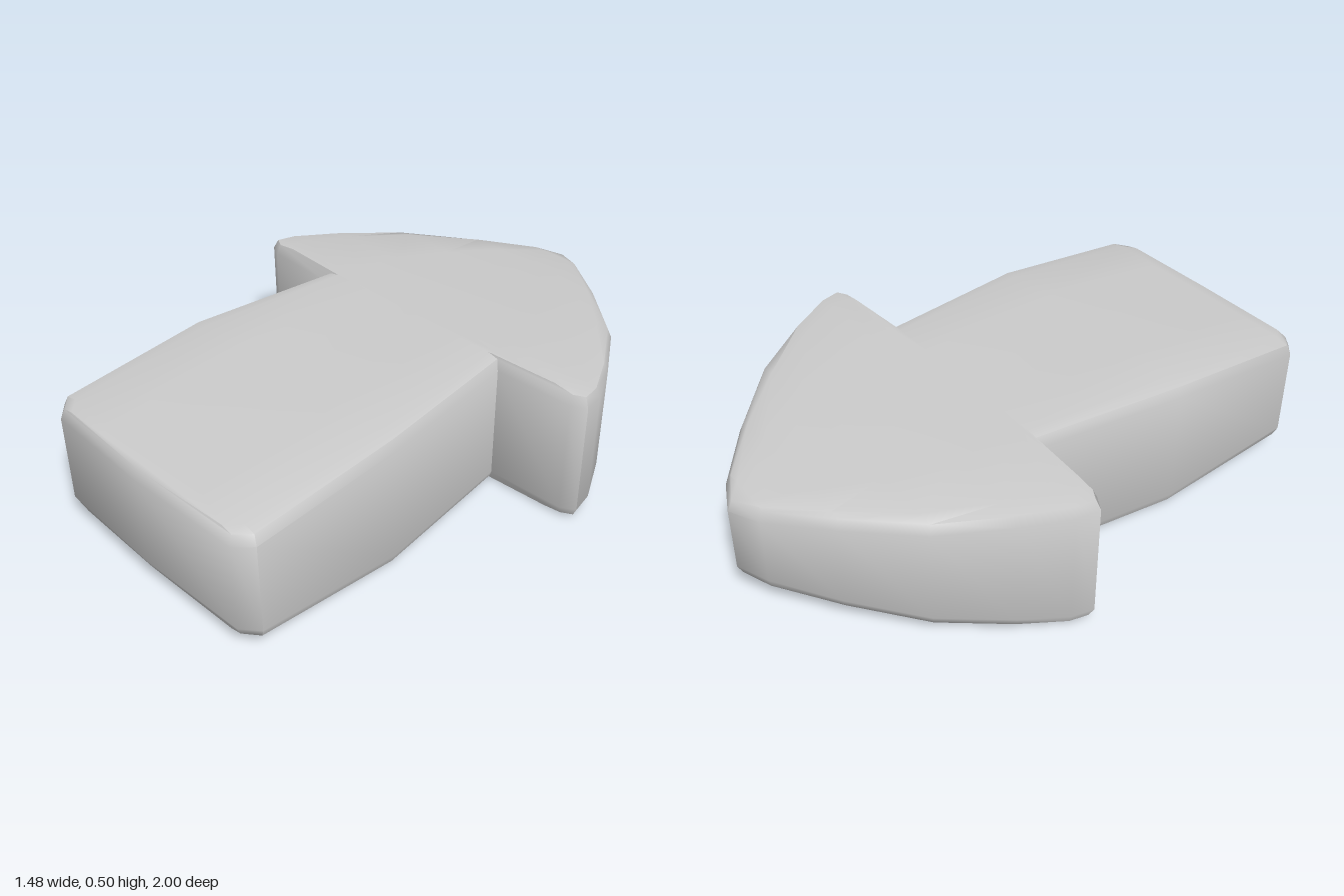
import * as THREE from 'three';
import { toCreasedNormals } from 'three/addons/utils/BufferGeometryUtils.js';

const MID = 0.252; // height of the slab's middle plane

// Half outline from the tip to the blunt end: [x, z, half thickness]
const HALF = [
  [0, -1, 0.158], [0.11, -0.95, 0.163], [0.3, -0.8, 0.187], [0.505, -0.61, 0.21],
  [0.645, -0.4, 0.231], [0.725, -0.25, 0.243], [0.74, -0.17, 0.247], [0.69, -0.143, 0.248],
  [0.41, -0.128, 0.25], [0.475, 0.4, 0.25], [0.47, 0.93, 0.205], [0.415, 0.98, 0.2], [0, 0.995, 0.2],
];
const RING = [...HALF, ...HALF.slice(1, -1).reverse().map(([x, z, h]) => [-x, z, h])];

// Moves the closed outline inwards by d with mitred corners
function inset(ring, d) {
  const n = ring.length;
  const normal = (a, b) => new THREE.Vector2(b[1] - a[1], a[0] - b[0]).normalize();
  return ring.map((p, i) => {
    const n1 = normal(ring[(i + n - 1) % n], p);
    const n2 = normal(p, ring[(i + 1) % n]);
    const k = d / (1 + n1.dot(n2));
    return [p[0] - (n1.x + n2.x) * k, p[1] - (n1.y + n2.y) * k, p[2]];
  });
}

function arrowGeometry() {
  const pos = [];
  const tri = (a, b, c) => {
    const area = b.clone().sub(a).cross(c.clone().sub(a)).length();
    if (area > 1e-7) for (const v of [a, b, c]) pos.push(v.x, v.y, v.z);
  };
  const quad = (a, b, c, d) => { tri(a, b, c); tri(a, c, d); };

  // Upright sides with a narrow bevel above and below
  const rim = inset(RING, 0.015);
  const layer = (ring, side, drop) =>
    ring.map(([x, z, h]) => new THREE.Vector3(x, MID + side * (h - drop), z));
  const layers = [layer(rim, -1, 0.012), layer(RING, -1, 0.045), layer(RING, 1, 0.045), layer(rim, 1, 0.012)];
  for (let k = 0; k < 3; k++) {
    for (let i = 0; i < RING.length; i++) {
      const j = (i + 1) % RING.length;
      quad(layers[k][i], layers[k + 1][i], layers[k + 1][j], layers[k][j]);
    }
  }

  // Slightly crowned top and bottom, in rows across the slab
  const columns = [-1, -0.9, -0.5, 0, 0.5, 0.9, 1];
  const rows = rim.slice(0, HALF.length);
  for (const side of [1, -1]) {
    const grid = rows.map(([w, z, h]) => columns.map((u) => {
      const drop = Math.abs(u) === 1 || w < 0.001 ? 0.012 : 0.003 * Math.abs(u);
      return new THREE.Vector3(u * w, MID + side * (h - drop), z);
    }));
    for (let i = 0; i < grid.length - 1; i++) {
      for (let j = 0; j < columns.length - 1; j++) {
        const q = [grid[i][j], grid[i + 1][j], grid[i + 1][j + 1], grid[i][j + 1]];
        if (side < 0) q.reverse();
        quad(...q);
      }
    }
  }

  const geometry = new THREE.BufferGeometry();
  geometry.setAttribute('position', new THREE.Float32BufferAttribute(pos, 3));
  return toCreasedNormals(geometry, 0.88);
}

export function createModel() {
  const group = new THREE.Group();
  group.name = 'arrow';
  const body = new THREE.Mesh(arrowGeometry(), new THREE.MeshStandardMaterial({ color: 0xcccccc }));
  body.name = 'arrowBody';
  group.add(body);
  return group;
}
